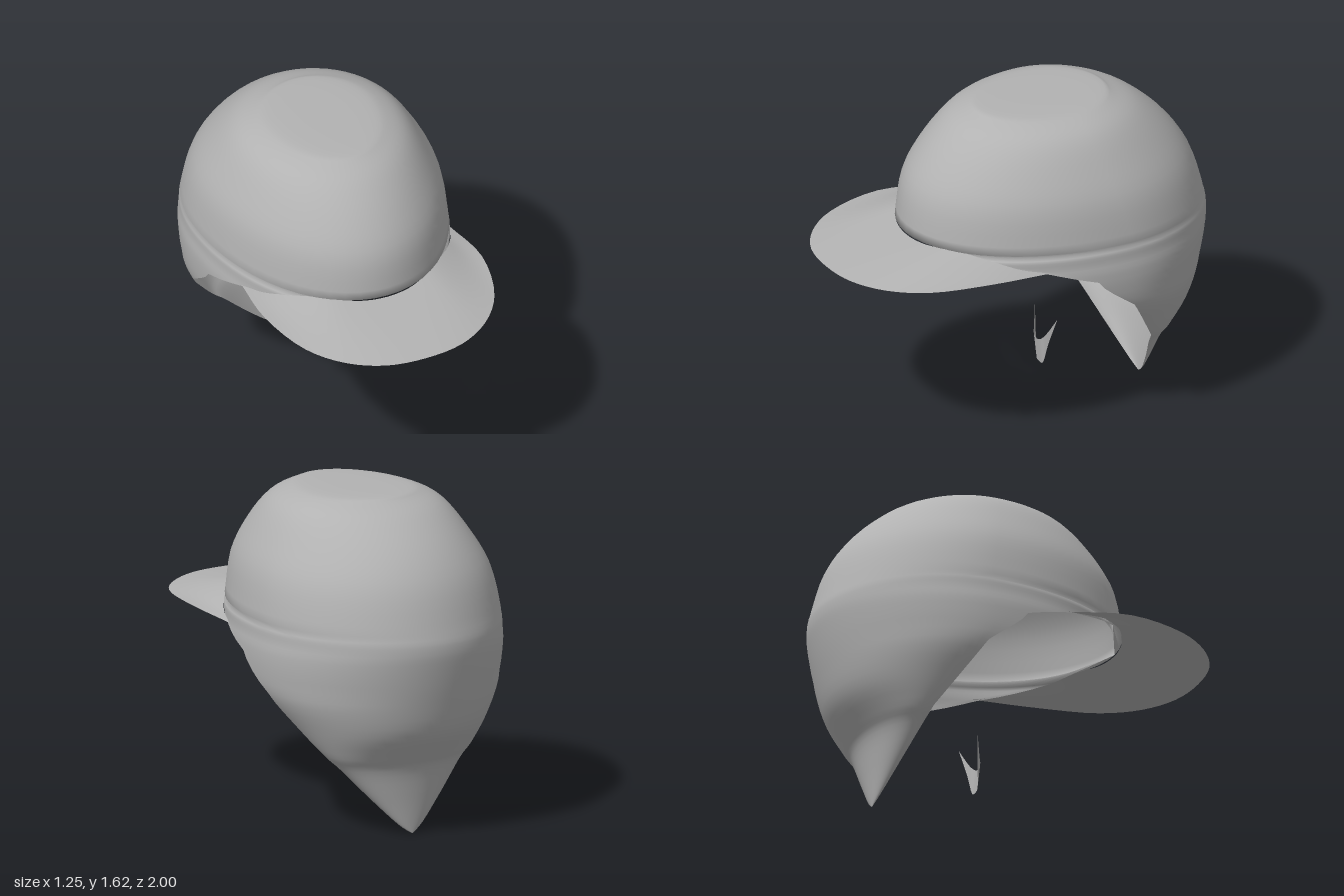
import * as THREE from 'three';
import { mergeVertices } from 'three/addons/utils/BufferGeometryUtils.js';

const grey = new THREE.MeshStandardMaterial({ color: 0xb2b2b2, side: THREE.DoubleSide });
grey.name = 'grey';

// Smooth sheet through rows of equally many points
function sheet(name, rows) {
  const n = rows[0].length, index = [];
  for (let r = 0; r < rows.length - 1; r++) {
    for (let c = 0; c < n - 1; c++) {
      const a = r * n + c, b = a + n;
      index.push(a, a + 1, b, a + 1, b + 1, b);
    }
  }
  let geo = new THREE.BufferGeometry().setFromPoints(rows.flat());
  geo.setIndex(index);
  geo = mergeVertices(geo, 1e-4);
  geo.computeVertexNormals();
  const mesh = new THREE.Mesh(geo, grey);
  mesh.name = name;
  return mesh;
}

// Crown sections from top to tip: height, half width, front z, back z
const sections = [
  [1.62, 0, -0.22, -0.22],
  [1.617, 0.21, 0.12, -0.47],
  [1.6, 0.31, 0.2, -0.53],
  [1.54, 0.41, 0.31, -0.66],
  [1.41, 0.5, 0.435, -0.81],
  [1.25, 0.578, 0.53, -0.92],
  [1.045, 0.613, 0.563, -0.985],
  [0.965, 0.618, 0.563, -1],
  [0.87, 0.625, 0.56, -0.99],
  [0.7, 0.6, 0.5, -0.955],
  [0.53, 0.495, 0.5, -0.905],
  [0.4, 0.4, 0.5, -0.81],
  [0.33, 0.33, 0.5, -0.765],
  [0.19, 0.205, 0.5, -0.737],
  [0.05, 0.07, 0.5, -0.717],
  [0, 0, 0.5, -0.71],
];

// Edge of the face opening: height, z
const edge = [
  [1.045, 0.563], [1.025, 0.43], [0.97, 0.2], [0.945, 0.08], [0.87, -0.16],
  [0.82, -0.2], [0.7, -0.36], [0.4, -0.56], [0.19, -0.64], [0, -0.71],
];

function edgeZ(y) {
  const i = Math.min(edge.findIndex(e => e[0] <= y) + edge.length, 2 * edge.length - 1) % edge.length;
  if (i === 0) return edge[0][1];
  const [y0, z0] = edge[i - 1], [y1, z1] = edge[i];
  return THREE.MathUtils.mapLinear(y, y0, y1, z0, z1);
}

// Catmull-Rom blend of the sections around section i
function blend(i, t) {
  const at = k => sections[THREE.MathUtils.clamp(k, 0, sections.length - 1)];
  const [p, q, r, s] = [at(i - 1), at(i), at(i + 1), at(i + 2)];
  return q.map((v, k) => v + 0.5 * t * (r[k] - p[k]
    + t * (2 * p[k] - 5 * v + 4 * r[k] - s[k] + t * (3 * (v - r[k]) + s[k] - p[k]))));
}

// Each section runs from one side of the opening around the back to the other
function crownRow([y, w, front, back]) {
  const cut = edgeZ(y), n = 56, row = [];
  const widest = -0.33 + 0.11 * THREE.MathUtils.smoothstep(y, 1.05, 1.62);
  const zc = Math.min(widest, cut);
  const open = y < edge[0][0] - 0.001;
  const limit = open ? Math.acos(-Math.min(1, (cut - zc) / (front - zc))) : Math.PI;
  for (let i = 0; i <= n; i++) {
    const t = limit * (2 * i / n - 1), c = -Math.cos(t);
    row.push(new THREE.Vector3(w * Math.sin(t), y, zc + c * (c > 0 ? front - zc : zc - back)));
  }
  return row;
}

function crown() {
  const rows = [], steps = 4;
  for (let i = 0; i < sections.length - 1; i++) {
    for (let s = 0; s < steps; s++) rows.push(crownRow(blend(i, s / steps)));
  }
  rows.push(crownRow(sections[sections.length - 1]));
  return sheet('crown', rows);
}

// Symmetric curve from points running from the middle to the left side
function mirroredCurve(points) {
  const left = points.map(p => new THREE.Vector3(...p));
  const right = left.slice(1).reverse().map(p => new THREE.Vector3(-p.x, p.y, p.z));
  return new THREE.CatmullRomCurve3([...right, ...left]);
}

// Sheet spanning two curves
function loft(name, from, to, n, steps) {
  const a = from.getPoints(n), b = to.getPoints(n), rows = [];
  for (let s = 0; s <= steps; s++) rows.push(a.map((p, i) => p.clone().lerp(b[i], s / steps)));
  return sheet(name, rows);
}

export function createModel() {
  const model = new THREE.Group();
  model.name = 'cap';

  // Crown with its pointed back flap
  model.add(crown());

  // Visor, arched where it meets the crown
  const inner = mirroredCurve([
    [0, 1.035, 0.56], [0.15, 1.04, 0.535], [0.285, 1.047, 0.45],
    [0.42, 1.015, 0.32], [0.5, 0.975, 0.2], [0.545, 0.95, 0.08]]);
  const outer = mirroredCurve([
    [0, 0.97, 1], [0.2, 0.97, 0.972], [0.37, 0.97, 0.87],
    [0.5, 0.975, 0.7], [0.575, 0.98, 0.4], [0.547, 0.947, 0.06]]);
  model.add(loft('visor', inner, outer, 40, 4));

  // Small forked chin piece
  const upper = mirroredCurve([
    [0, 0.302, -0.155], [0.035, 0.315, -0.157], [0.06, 0.345, -0.172], [0.112, 0.44, -0.205]]);
  const lower = mirroredCurve([
    [0, 0.175, -0.17], [0.03, 0.182, -0.17], [0.06, 0.285, -0.182], [0.112, 0.44, -0.205]]);
  model.add(loft('chinPiece', upper, lower, 18, 2));

  return model;
}
